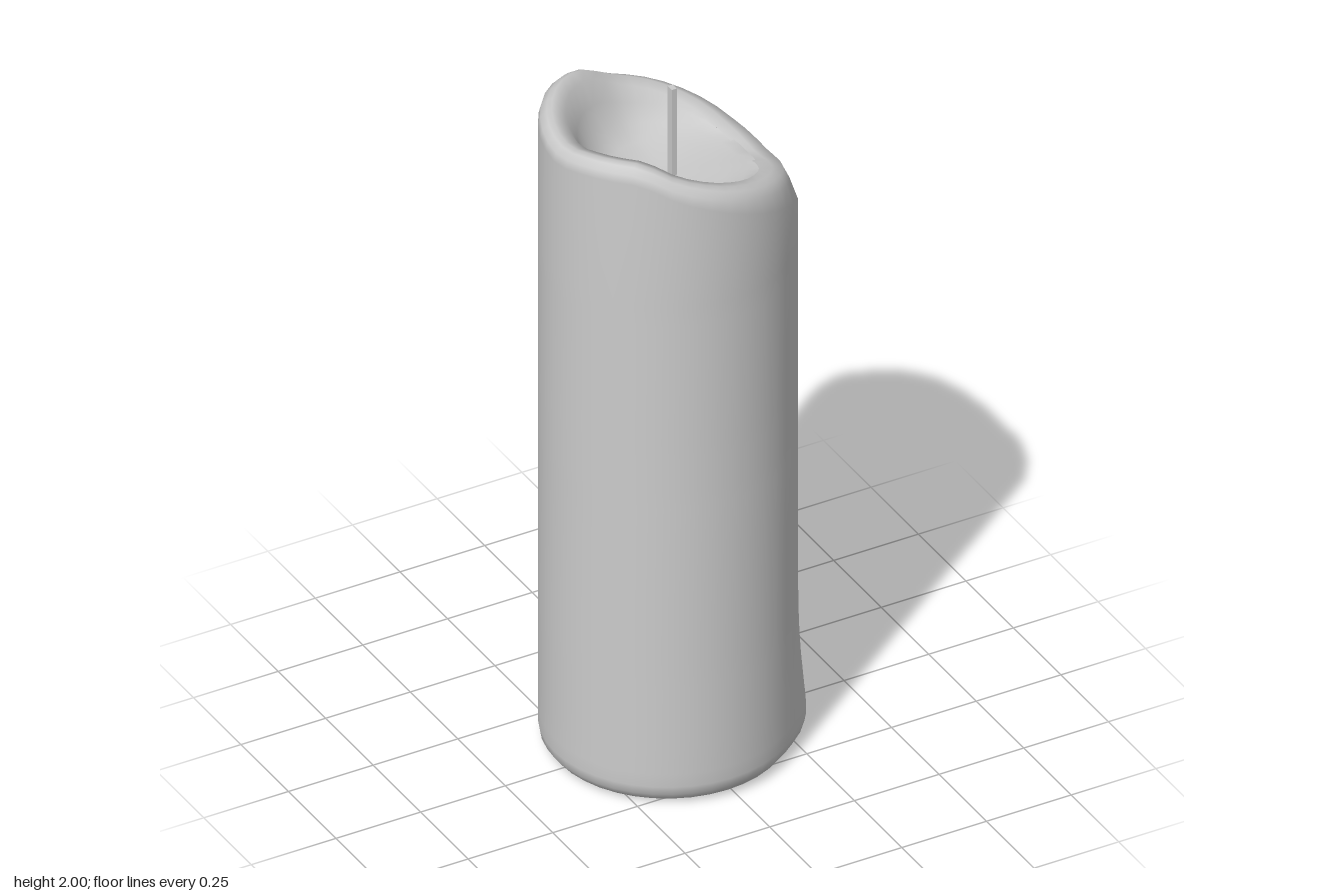
import * as THREE from 'three';

const SEG = 40, R = 0.336, CX = -0.02, FLOOR = 1.735;

// Rim height around the candle, every 22.5 degrees from +x towards +z
const rimHeights = [1.725, 1.75, 1.79, 1.825, 1.865, 1.91, 1.96, 1.95,
  1.93, 1.94, 1.95, 1.935, 1.875, 1.835, 1.79, 1.745];
const rim = new THREE.CatmullRomCurve3(rimHeights.map((h) => new THREE.Vector3(0, h, 0)), true);

// Wax drips: angle (degrees), height, angular spread, vertical spread, bulge
const drips = [
  [-8, 1.08, 14, 0.08, 0.034],
  [-40, 1.05, 12, 0.1, 0.016],
  [-14, 0.41, 14, 0.07, 0.024],
  [2, 0.05, 22, 0.13, 0.038],
  [-32, 0.7, 9, 0.7, 0.016],
  [-10, 1.3, 9, 0.15, 0.012],
  [-68, 1.2, 8, 0.6, 0.01],
  [30, 0.1, 12, 0.2, 0.012],
  [-22, 1.55, 9, 0.08, -0.012],
];

function bulge(deg, y) {
  return drips.reduce((sum, [d, h, sd, sh, amp]) => {
    const a = (((deg - d + 180) % 360) + 360) % 360 - 180;
    return sum + amp * Math.exp(-((a / sd) ** 2) - ((y - h) / sh) ** 2);
  }, 0);
}

// Profile [radius, height] at one angle: base, wall, melted shoulder, lip, bowl
function profile(t) {
  const h = rim.getPoint(t).y;
  const low = THREE.MathUtils.clamp((1.96 - h) / 0.235, 0, 1);
  const melt = low * low;
  const wall = [0.1, 0.18, 0.25, 0.31, 0.36, 0.4, 0.45, 0.53, 0.65, 0.8, 0.92,
    0.97, 1.02, 1.07, 1.12, 1.2, 1.3, 1.4, 1.48, 1.54];
  const lip = 0.3 - 0.045 * melt;
  return [
    [0.285, 0], [0.315, 0.012], [0.332, 0.035], [R, 0.06],
    ...wall.map((y) => [R, y]),
    [R, h - 0.045 - 0.085 * melt],
    [R - 0.006 - 0.022 * melt, h - 0.022 - 0.025 * melt],
    [(lip + R) / 2 - 0.004, h - 0.006],
    [lip, h],
    [lip - 0.035, h - 0.015 * (1 - low)],
    [0.235, THREE.MathUtils.lerp(FLOOR, h, 0.62)],
    [0.2, THREE.MathUtils.lerp(FLOOR, h, 0.3)],
    [0.15, THREE.MathUtils.lerp(FLOOR, h, 0.1)],
    [0.07, FLOOR],
  ];
}

function candleGeometry() {
  const pos = [], index = [];
  let rows = 0;
  for (let j = 0; j < SEG; j++) {
    const a = (j / SEG) * Math.PI * 2;
    const points = profile(j / SEG);
    rows = points.length;
    points.forEach(([r, y], i) => {
      const out = r + (i < rows - 7 ? bulge((j / SEG) * 360, y) : 0);
      pos.push(CX + Math.cos(a) * out, y, Math.sin(a) * out * 0.99);
    });
  }
  const bottom = SEG * rows, top = bottom + 1;
  pos.push(CX, 0, 0, CX, FLOOR - 0.002, 0);
  for (let j = 0; j < SEG; j++) {
    const a = j * rows, b = ((j + 1) % SEG) * rows;
    for (let i = 0; i < rows - 1; i++) {
      index.push(a + i, a + i + 1, b + i, b + i, a + i + 1, b + i + 1);
    }
    index.push(bottom, a, b, top, b + rows - 1, a + rows - 1);
  }
  const geo = new THREE.BufferGeometry();
  geo.setAttribute('position', new THREE.Float32BufferAttribute(pos, 3));
  geo.setIndex(index);
  geo.computeVertexNormals();
  return geo;
}

export function createModel() {
  const group = new THREE.Group();
  group.name = 'candle';
  const material = new THREE.MeshStandardMaterial({ color: 0xcccccc });

  // Wax body with melted bowl
  const wax = new THREE.Mesh(candleGeometry(), material);
  wax.name = 'waxBody';

  // Wick standing in the bowl
  const wick = new THREE.Mesh(new THREE.BoxGeometry(0.015, 0.27, 0.022), material);
  wick.name = 'wick';
  wick.position.set(-0.007, 1.865, 0);

  group.add(wax, wick);
  return group;
}
